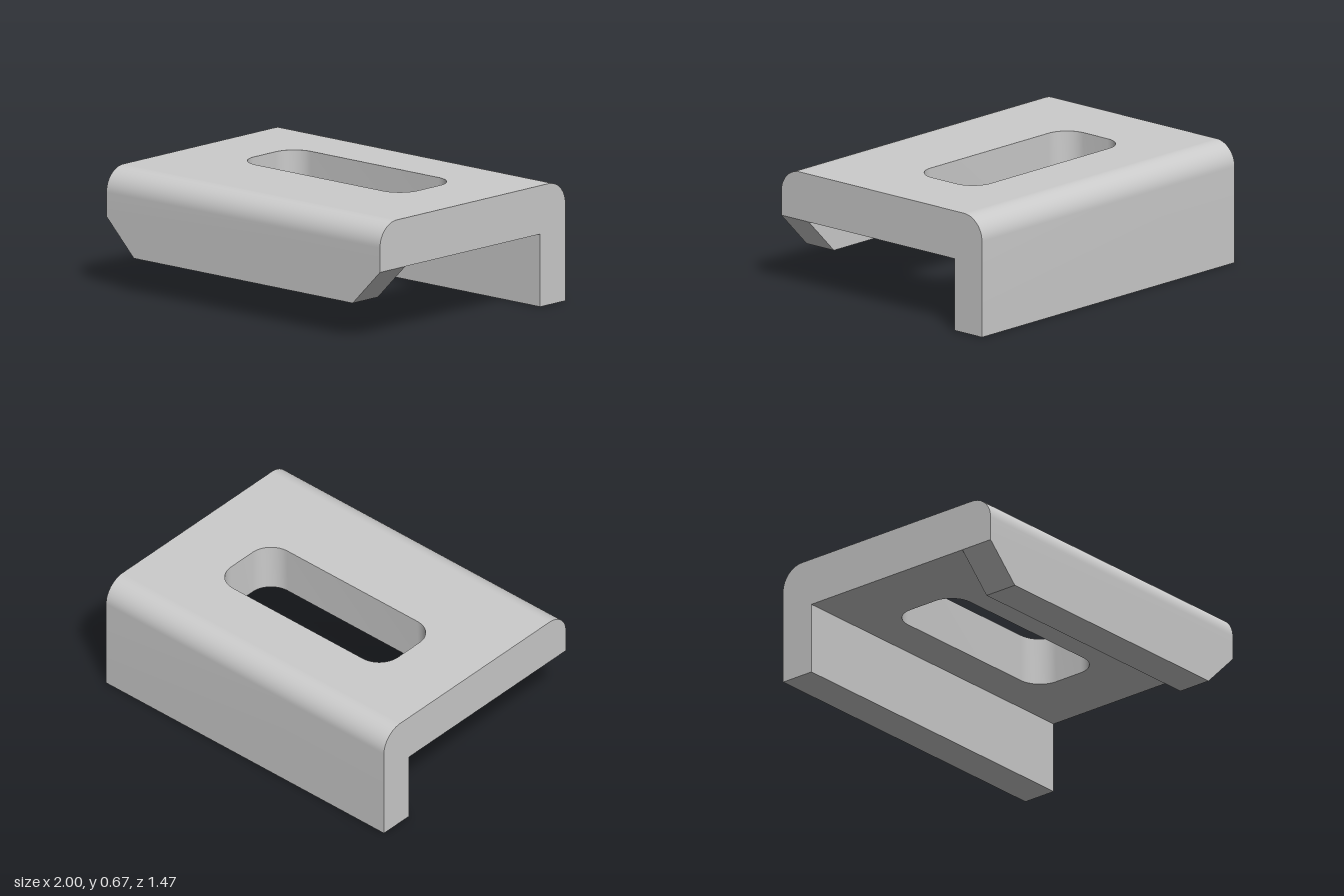
import * as THREE from 'three';
import { mergeGeometries, toCreasedNormals } from 'three/addons/utils/BufferGeometryUtils.js';

const TOP = 0.667, UNDER = 0.4, HALF_Z = 0.733, INNER_Z = 0.533, R = 0.133;

// Closed shape from straight edges
const polygon = (pts) => new THREE.Shape(pts.map(([x, y]) => new THREE.Vector2(x, y)));

// Rectangle with rounded corners
function roundedRect(x0, y0, x1, y1, r) {
  const s = new THREE.Shape();
  s.absarc(x1 - r, y0 + r, r, -Math.PI / 2, 0);
  s.absarc(x1 - r, y1 - r, r, 0, Math.PI / 2);
  s.absarc(x0 + r, y1 - r, r, Math.PI / 2, Math.PI);
  s.absarc(x0 + r, y0 + r, r, Math.PI, Math.PI * 1.5);
  s.closePath();
  return s;
}

const extrude = (shape, depth) =>
  new THREE.ExtrudeGeometry(shape, { depth, bevelEnabled: false, curveSegments: 8 });

// Remove the triangles lying flat at any of the given heights
function openAt(geometry, heights) {
  const src = geometry.index ? geometry.toNonIndexed() : geometry;
  const p = src.attributes.position, kept = [];
  for (let i = 0; i < p.count; i += 3) {
    const flat = heights.some((h) => [0, 1, 2].every((k) => Math.abs(p.getY(i + k) - h) < 1e-4));
    if (!flat) for (let k = 0; k < 3; k++) kept.push(p.getX(i + k), p.getY(i + k), p.getZ(i + k));
  }
  const out = new THREE.BufferGeometry();
  out.setAttribute('position', new THREE.Float32BufferAttribute(kept, 3));
  return out;
}

// Flat horizontal sheet pierced by the slot, facing up (dir 1) or down (dir -1)
function slottedSheet(halfZ, y, dir) {
  const s = polygon([[-1, -halfZ], [1, -halfZ], [1, halfZ], [-1, halfZ]]);
  s.holes.push(slot(dir));
  return openAt(new THREE.ShapeGeometry(s, 8).rotateX(-dir * Math.PI / 2).translate(0, y, 0), []);
}

// Slot outline; it sits a little behind the centre
const slot = (dir) => (dir > 0
  ? roundedRect(-0.6, -0.133, 0.6, 0.307, R)
  : roundedRect(-0.6, -0.307, 0.6, 0.133, R));

export function createModel() {
  const group = new THREE.Group();
  const material = new THREE.MeshStandardMaterial({ color: 0xcccccc });
  const add = (name, geometry) => {
    const mesh = new THREE.Mesh(toCreasedNormals(geometry, 0.5), material);
    mesh.name = name;
    group.add(mesh);
  };

  // Side profile: plate with rounded upper edges and a long rear flange
  const profile = new THREE.Shape();
  profile.moveTo(-HALF_Z, UNDER);
  profile.lineTo(INNER_Z, UNDER);
  profile.lineTo(INNER_Z, 0);
  profile.lineTo(HALF_Z, 0);
  profile.absarc(HALF_Z - R, TOP - R, R, 0, Math.PI / 2);
  profile.absarc(-HALF_Z + R, TOP - R, R, Math.PI / 2, Math.PI);
  profile.closePath();
  const body = extrude(profile, 2).rotateY(Math.PI / 2).translate(-1, 0, 0);

  // Slot wall, mirrored so that it faces inward
  const wall = extrude(slot(1), TOP - UNDER).rotateX(-Math.PI / 2).translate(0, UNDER, 0).scale(-1, 1, 1);

  add('slottedPlateWithRearFlange', mergeGeometries([
    openAt(body, [TOP, UNDER]),
    openAt(wall, [TOP, UNDER]),
    slottedSheet(HALF_Z - R, TOP, 1),
    slottedSheet(INNER_Z, UNDER, -1),
  ]));

  // Front lip with slanted ends, open where it joins the plate
  const lip = polygon([[-1, UNDER], [-0.8, 0.2], [0.8, 0.2], [1, UNDER]]);
  add('frontLip', openAt(extrude(lip, HALF_Z - INNER_Z).translate(0, 0, INNER_Z), [UNDER]));

  return group;
}
